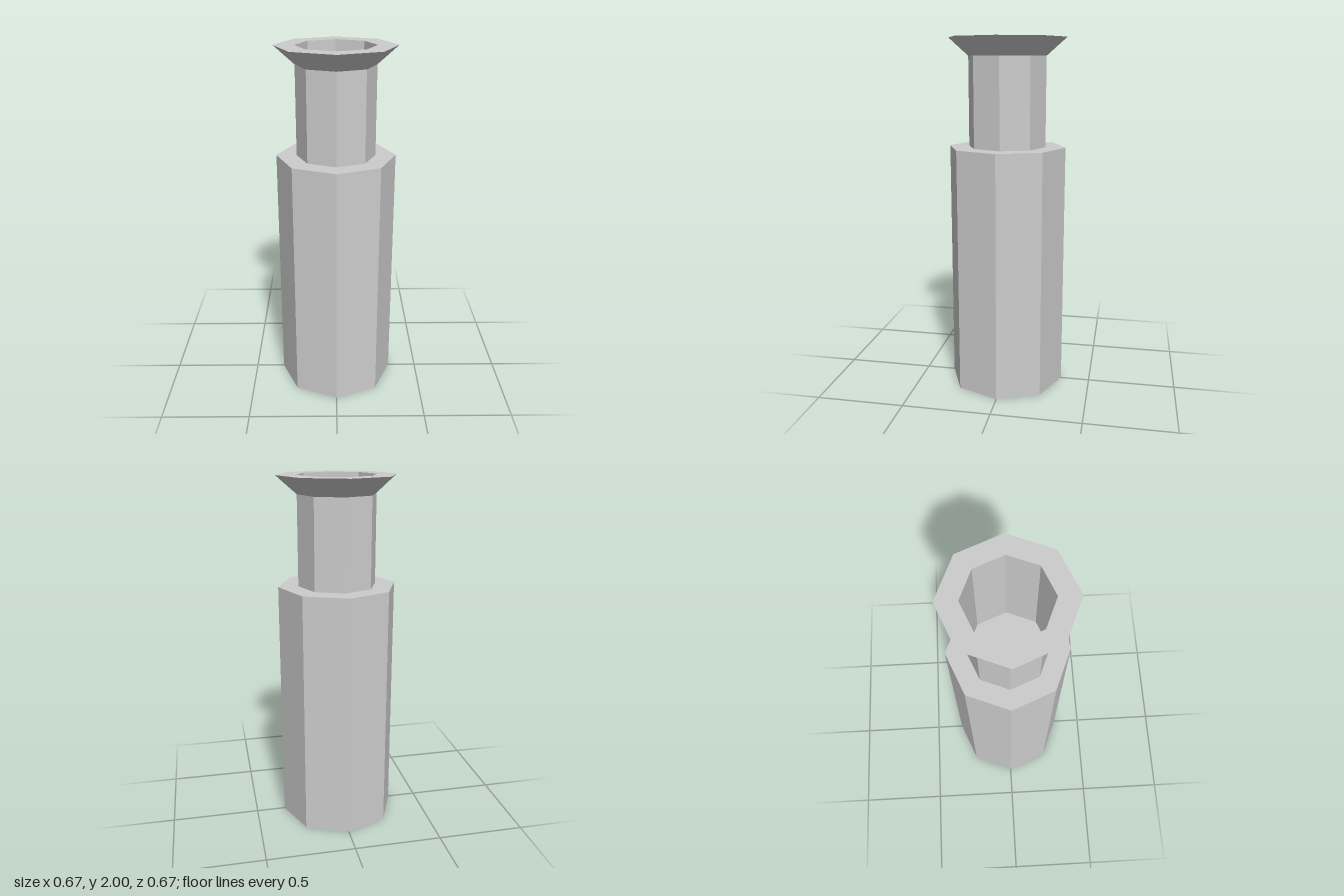
import * as THREE from 'three';

const SIDES = 8;
const R = 0.333;      // body and lip radius
const NECK = 0.22;    // neck and bore radius
const SHOULDER = 1.4;
const COLLAR = 1.9;
const TOP = 2;

export function createModel() {
  const group = new THREE.Group();
  const grey = new THREE.MeshStandardMaterial({ color: 0xcccccc, flatShading: true, side: THREE.DoubleSide });
  grey.name = 'grey';

  // Revolve a [radius, height] profile into an eight-sided part
  const addPart = (name, profile) => {
    const points = profile.map(([r, y]) => new THREE.Vector2(r, y));
    const mesh = new THREE.Mesh(new THREE.LatheGeometry(points, SIDES), grey);
    mesh.name = name;
    group.add(mesh);
  };

  // Closed body; the middle of its top is the floor of the opening
  addPart('body', [[0, 0], [R, 0], [R, SHOULDER], [0, SHOULDER]]);
  // Thin-walled neck, seen from outside and inside
  addPart('neck', [[NECK, SHOULDER], [NECK, COLLAR]]);
  // Flared lip with flat rim and inner wall
  addPart('lip', [[NECK, COLLAR], [R, TOP], [NECK, TOP], [NECK, COLLAR]]);

  return group;
}
